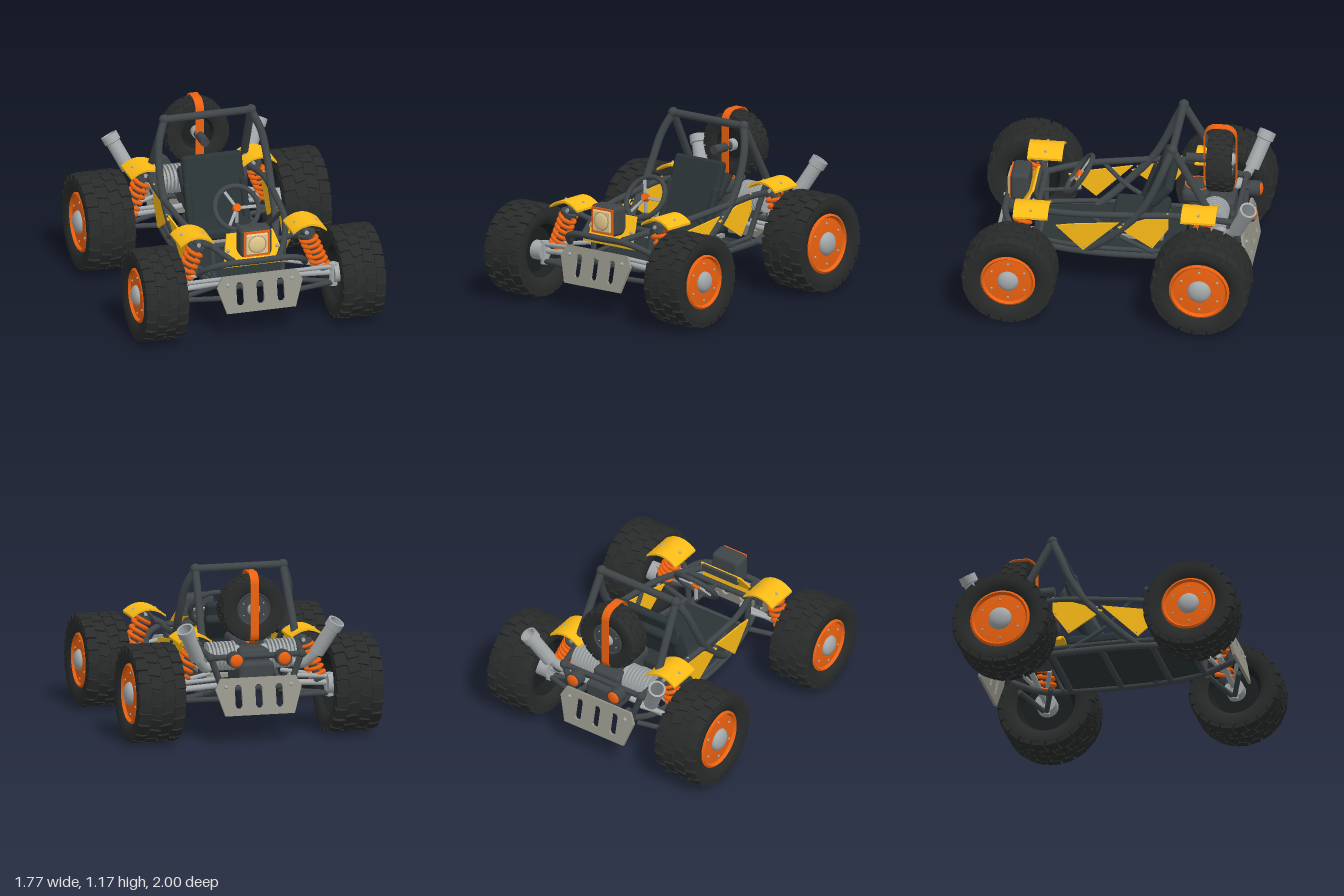
import * as THREE from 'three';
import { mergeGeometries, toCreasedNormals } from 'three/addons/utils/BufferGeometryUtils.js';
import { RoundedBoxGeometry } from 'three/addons/geometries/RoundedBoxGeometry.js';

const C = { tyre: 0x292b2b, frame: 0x3f4548, orange: 0xee6210, yellow: 0xfcbb16, plate: 0x95958a, seat: 0x2b3436, steel: 0xa4a9ab, dark: 0x1b1f20, lens: 0xe9cd90 };
const mats = {};
const mat = c => (mats[c] ??= new THREE.MeshStandardMaterial({ color: c }));
const V = p => new THREE.Vector3(...p);

export function createModel() {
  const root = new THREE.Group();
  const add = (name, geo, color, pos = [0, 0, 0], parent = root) => {
    const m = new THREE.Mesh(geo, mat(color));
    m.name = name;
    m.position.set(...pos);
    parent.add(m);
    return m;
  };
  // stand a geometry built along +y on point a, pointing at b
  const align = (m, a, b) => {
    m.position.set(...a);
    m.quaternion.setFromUnitVectors(new THREE.Vector3(0, 1, 0), V(b).sub(V(a)).normalize());
    return m;
  };
  const rod = (name, a, b, r, color = C.frame) => {
    const len = V(a).distanceTo(V(b));
    return align(add(name, new THREE.CylinderGeometry(r, r, len, 14).translate(0, len / 2, 0), color), a, b);
  };
  const ball = (name, p, r, color = C.frame, parent = root) => add(name, new THREE.SphereGeometry(r, 16, 12), color, p, parent);
  const tube = (name, pts, r, color = C.frame) => {
    add(name, new THREE.TubeGeometry(new THREE.CatmullRomCurve3(pts.map(V), false, 'centripetal'), 40, r, 12), color);
    [pts[0], pts[pts.length - 1]].forEach(p => ball(name + 'End', p, r * 1.08, color));
  };
  const lathe = (pts, seg = 40) => toCreasedNormals(new THREE.LatheGeometry(pts.map(p => new THREE.Vector2(...p)), seg), 0.6);
  const shapeOf = pts => new THREE.Shape(pts.map(p => new THREE.Vector2(...p)));
  const extrude = (shape, depth) => new THREE.ExtrudeGeometry(shape, { depth, bevelEnabled: false, curveSegments: 20 });
  // move every vertex of a geometry by a rule
  const reshape = (geo, rule) => {
    const p = geo.attributes.position;
    for (let i = 0; i < p.count; i++) p.setXYZ(i, ...rule(p.getX(i), p.getY(i), p.getZ(i)));
    geo.computeVertexNormals();
    return geo;
  };
  const mx = (p, s) => [p[0] * s, p[1], p[2]];
  const both = fn => [1, -1].forEach(fn);

  // Wheel with its axle along x, outer face towards +x
  function wheel(name, R, w, ri, rimColor, n) {
    const g = new THREE.Group();
    g.name = name;
    root.add(g);
    const toX = geo => geo.rotateZ(-Math.PI / 2);
    add('tyre', toX(lathe([[ri, -w * 0.8], [ri * 1.12, -w * 0.92], [R * 0.78, -w * 1.02], [R * 0.88, -w], [R * 0.95, -w * 0.8],
      [R * 0.965, 0], [R * 0.95, w * 0.8], [R * 0.88, w], [R * 0.78, w * 1.02], [ri * 1.12, w * 0.92], [ri, w * 0.8]], 56)), C.tyre, [0, 0, 0], g);
    // tread blocks: four staggered rows, the outer ones wrapping the chamfered shoulder
    const blocks = [], pitch = (Math.PI * 2 * R) / n;
    for (let row = 0; row < 4; row++) for (let i = 0; i < n; i++) {
      const edge = row % 3 === 0, h = R * (edge ? 0.15 : 0.07), x0 = (row - 1.5) * 0.5 * w;
      const len = pitch * (0.84 + 0.07 * Math.sin(i * 2.4 + row));
      const b = reshape(new THREE.BoxGeometry(w * 0.46, h, len, 2, 1, 1), (x, y, z) => {
        const outer = edge && x * x0 > 1e-6;
        return [x * (outer && y < 0 ? 1.08 : 1), outer && y > 0 ? y - R * 0.03 : y, z * (y > 0 ? 0.95 : 1)];
      });
      b.rotateY((edge ? 0.06 : 0.22) * (row < 2 ? 1 : -1));
      b.translate(x0, R - h / 2 - 0.003, 0);
      blocks.push(b.rotateX(((i + (row % 2) * 0.5) / n) * Math.PI * 2));
    }
    add('tread', mergeGeometries(blocks), C.tyre, [0, 0, 0], g);
    add('rim', toX(lathe([[0, 0], [ri * 1.02, 0], [ri * 1.02, w * 0.86], [ri * 0.95, w * 0.92], [ri * 0.88, w * 0.8], [ri * 0.5, w * 0.84], [0, w * 0.84]])), rimColor, [0, 0, 0], g);
    add('innerDish', toX(lathe([[0, -w * 0.35], [ri * 0.85, -w * 0.35], [ri * 1.02, -w * 0.8], [ri * 1.02, 0]])), C.dark, [0, 0, 0], g);
    add('hub', toX(new THREE.CylinderGeometry(ri * 0.36, ri * 0.36, w * 1.2, 24)), C.steel, [-w * 0.3, 0, 0], g);
    ball('hubCap', [w * 0.84, 0, 0], ri * 0.4, C.steel, g).scale.x = 0.56;
    for (let i = 0; i < 6; i++) {
      const a = (i / 6) * Math.PI * 2;
      ball('wheelBolt', [w * 0.82, Math.cos(a) * ri * 0.7, Math.sin(a) * ri * 0.7], ri * 0.045, C.steel, g);
    }
    return g;
  }
  both(s => {
    const f = wheel('frontWheel', 0.323, 0.153, 0.185, C.orange, 21), r = wheel('rearWheel', 0.341, 0.168, 0.204, C.orange, 21);
    f.position.set(s * 0.703, 0.329, 0.68);
    r.position.set(s * 0.7, 0.347, -0.638);
    if (s < 0) f.rotation.y = r.rotation.y = Math.PI;
  });

  // Spare wheel, its post and strap
  const spare = wheel('spareWheel', 0.228, 0.086, 0.115, C.frame, 20);
  spare.position.set(0, 0.913, -0.69);
  spare.rotation.y = Math.PI / 2;
  rod('sparePost', [0, 0.91, -0.445], [0, 0.91, -0.66], 0.032);
  const loop = (hw, hh, r, P) => {
    const p = new P();
    [[hw - r, hh - r, 0], [r - hw, hh - r, 1], [r - hw, r - hh, 2], [hw - r, r - hh, 3]].forEach(([x, y, q]) => p.absarc(x, y, r, q * Math.PI / 2, (q + 1) * Math.PI / 2, false));
    return p;
  };
  const strap = loop(0.112, 0.25, 0.08, THREE.Shape);
  strap.holes.push(loop(0.107, 0.245, 0.075, THREE.Path));
  add('spareStrap', extrude(strap, 0.06).translate(0, 0, -0.03).rotateY(Math.PI / 2), C.orange, [0, 0.918, -0.68]);

  // Tubular frame and roll cage
  both(s => {
    const t = (name, pts, r) => tube(name, pts.map(p => mx(p, s)), r);
    t('rollHoopLeg', [[0.31, 1.14, -0.39], [0.365, 1, -0.33], [0.385, 0.82, -0.255], [0.385, 0.67, -0.17], [0.37, 0.5, -0.02], [0.33, 0.38, 0.11], [0.3, 0.31, 0.2]], 0.027);
    t('rearStay', [[0.31, 1.14, -0.39], [0.33, 0.72, -0.62]], 0.027);
    t('upperRail', [[0.32, 0.6, -0.82], [0.36, 0.645, -0.55], [0.385, 0.66, -0.35], [0.385, 0.65, -0.2], [0.375, 0.635, -0.03], [0.34, 0.605, 0.3], [0.26, 0.57, 0.55], [0.17, 0.53, 0.74]], 0.022);
    t('lowerRail', [[0.24, 0.38, -0.82], [0.28, 0.3, -0.6], [0.31, 0.295, -0.35], [0.31, 0.295, 0.2], [0.24, 0.3, 0.55], [0.18, 0.36, 0.8]], 0.022);
    t('sill', [[0.3, 0.34, -0.45], [0.315, 0.335, -0.2], [0.31, 0.335, 0.2], [0.25, 0.34, 0.55]], 0.016);
    t('sideBrace', [[0.36, 0.61, 0.17], [0.33, 0.46, 0.0], [0.31, 0.3, -0.3]], 0.016);
    t('rearUpright', [[0.32, 0.6, -0.82], [0.24, 0.38, -0.82]], 0.022);
    t('rearBrace', [[0.33, 0.72, -0.62], [0.29, 0.3, -0.45]], 0.02);
    t('frontUpright', [[0.26, 0.57, 0.55], [0.24, 0.3, 0.55]], 0.02);
    t('shockMount', [[0.26, 0.57, 0.55], [0.385, 0.635, 0.62]], 0.02);
    t('rearShockMount', [[0.34, 0.66, -0.6], [0.395, 0.645, -0.61]], 0.022);
    ball('cageJoint', [s * 0.31, 1.14, -0.39], 0.036);
    ball('rearJoint', [s * 0.32, 0.6, -0.82], 0.032);
  });
  rod('cageTopBar', [-0.31, 1.14, -0.39], [0.31, 1.14, -0.39], 0.027);
  [[0.31, 0.295, -0.4], [0.31, 0.295, -0.05], [0.29, 0.295, 0.3], [0.24, 0.3, 0.55], [0.26, 0.57, 0.55], [0.32, 0.6, -0.82], [0.24, 0.38, -0.82], [0.18, 0.36, 0.8]]
    .forEach(p => rod('crossBar', mx(p, -1), p, 0.02));
  tube('frontBumper', [[-0.38, 0.42, 0.64], [-0.33, 0.48, 0.72], [-0.23, 0.52, 0.77], [0, 0.525, 0.78], [0.23, 0.52, 0.77], [0.33, 0.48, 0.72], [0.38, 0.42, 0.64]], 0.022);

  // Floor and seat
  add('floor', extrude(shapeOf([[-0.3, 0.44], [0.3, 0.44], [0.31, -0.15], [0.24, -0.53], [-0.24, -0.53], [-0.31, -0.15]]), 0.02).rotateX(-Math.PI / 2), C.seat, [0, 0.3, 0]);
  add('seatTray', new THREE.BoxGeometry(0.42, 0.025, 0.36), C.plate, [0, 0.37, -0.13]);
  add('seatCushion', new RoundedBoxGeometry(0.44, 0.08, 0.38, 3, 0.03), C.seat, [0, 0.43, -0.13]);
  const back = new THREE.Group();
  back.name = 'seatBack';
  back.position.set(0, 0.65, -0.23);
  back.rotation.x = -0.34;
  root.add(back);
  add('backrest', new RoundedBoxGeometry(0.43, 0.5, 0.06, 3, 0.028), C.seat, [0, 0, 0], back);
  both(s => add('bolster', new RoundedBoxGeometry(0.05, 0.3, 0.07, 3, 0.024), C.seat, [s * 0.2, -0.08, 0.02], back));
  add('seatRearPad', new RoundedBoxGeometry(0.46, 0.22, 0.065, 3, 0.03), C.seat, [0, 0.71, -0.295]).rotation.x = -0.72;

  // Steering wheel
  const steer = new THREE.Group();
  steer.name = 'steeringWheel';
  steer.position.set(0, 0.72, 0.29);
  steer.rotation.x = -0.62;
  root.add(steer);
  add('steeringRim', new THREE.TorusGeometry(0.154, 0.018, 12, 40), C.frame, [0, 0, 0], steer);
  add('steeringHub', new THREE.CylinderGeometry(0.028, 0.028, 0.035, 20).rotateX(Math.PI / 2), C.orange, [0, 0, 0], steer);
  for (let i = 0; i < 3; i++) add('steeringSpoke', new THREE.BoxGeometry(0.02, 0.14, 0.01).translate(0, 0.075, 0).rotateZ(i * Math.PI * 2 / 3 + 0.5), C.steel, [0, 0, 0], steer);
  rod('steeringColumn', [0, 0.72, 0.29], [0, 0.605, 0.29], 0.013, C.steel);
  rod('steeringShaft', [0, 0.605, 0.28], [0, 0.575, 0.56], 0.014);

  // Yellow side panels, in the plane of the frame sides
  const panels = [[[0.41, 0.51], [0.3, 0.535], [-0.03, 0.585], [0.22, 0.34]], [[-0.02, 0.55], [-0.37, 0.685], [-0.37, 0.56], [-0.26, 0.4]]];
  both(s => panels.forEach(pts => {
    const flat = extrude(shapeOf(pts.map(([z, y]) => [-z, y])), 0.012).rotateY(Math.PI / 2).translate(s * 0.39 - 0.006, 0, 0);
    add('sidePanel', reshape(flat, (x, y, z) => [x - s * 0.1 * Math.max(0, z), y, z]), C.yellow);
    pts.forEach(([z, y]) => ball('panelBolt', [s * (0.394 - 0.1 * Math.max(0, z)), y * 0.85 + 0.08, z * 0.85 + (z > -0.02 ? 0.025 : -0.035)], 0.007, C.steel));
  }));

  // Arched fenders
  const arch = new THREE.Shape();
  arch.moveTo(-0.12, -0.05);
  arch.quadraticCurveTo(0, 0.05, 0.12, -0.05);
  arch.lineTo(0.12, -0.065);
  arch.quadraticCurveTo(0, 0.035, -0.12, -0.065);
  both(s => [[0.403, 0.708, 0.566], [0.4, 0.747, -0.588]].forEach(([x, y, z]) => {
    add('fender', toCreasedNormals(extrude(arch, 0.24).translate(0, 0, -0.12), 0.5), C.yellow, [s * x, y, z]);
    both(k => ball('fenderBolt', [s * x + k * 0.075, y - 0.02, z], 0.01, C.steel));
    rod('fenderBracket', [s * x, y - 0.015, z], [s * 0.32, y - 0.12, z], 0.012);
  }));

  // Nose panel, folded at its lower edge, and headlight
  const noseRows = [[0.225, 0.46, 0.685], [0.212, 0.51, 0.69], [0.19, 0.59, 0.638], [0.165, 0.665, 0.588]];
  const nose = reshape(new THREE.BoxGeometry(2, 3, 0.016, 1, 3, 1), (x, y, z) => {
    const [hw, ry, rz] = noseRows[Math.round(y + 1.5)];
    return [Math.sign(x) * hw, ry, rz + z];
  });
  add('nosePanel', toCreasedNormals(nose, 0.3), C.yellow);
  both(s => ball('noseBolt', [s * 0.175, 0.57, 0.66], 0.013, C.steel));
  add('noseBrace', new THREE.BoxGeometry(0.28, 0.05, 0.02), C.frame, [0, 0.645, 0.57]);
  add('headlightHousing', new RoundedBoxGeometry(0.225, 0.205, 0.13, 3, 0.03), C.frame, [0, 0.645, 0.69]);
  add('headlightFrame', new THREE.BoxGeometry(0.185, 0.18, 0.02), C.orange, [0, 0.643, 0.752]);
  add('headlightPane', new RoundedBoxGeometry(0.155, 0.15, 0.03, 2, 0.01), C.lens, [0, 0.643, 0.758]);
  add('headlightLens', new THREE.SphereGeometry(0.06, 28, 16).scale(1, 1, 0.22), C.lens, [0, 0.643, 0.772]);
  add('headlightRing', new THREE.TorusGeometry(0.062, 0.003, 8, 32), C.plate, [0, 0.643, 0.773]);

  // Slotted skid plates: an upper and a lower half, each notched by half of every slot
  const skidHalf = (k, rim) => {
    const notches = [-0.145, 0, 0.145].flatMap(x => [[-0.025, 0], [-0.025, 0.062], [-0.012, 0.08], [0.012, 0.08], [0.025, 0.062], [0.025, 0]].map(([dx, y]) => [x + dx, k * y]));
    const rimLeft = rim.map(([x, y]) => [-x, y]).reverse();
    return extrude(shapeOf([...notches, ...rim, ...rimLeft]), 0.02).translate(0, 0, -0.01).rotateX(-0.22);
  };
  const skidRims = { 1: [[0.287, 0], [0.305, 0.055], [0.265, 0.13]], '-1': [[0.287, 0], [0.245, -0.13]] };
  [[0.32, 0.835, 0], [0.335, -0.89, Math.PI]].forEach(([y, z, turn]) => {
    const g = new THREE.Group();
    g.name = 'skidPlate';
    g.position.set(0, y, z);
    g.rotation.y = turn;
    root.add(g);
    both(s => {
      add('plateHalf', skidHalf(s, skidRims[s]), C.plate, [0, 0, 0], g);
      ball('plateBolt', [s * 0.23, 0.07, -0.005], 0.013, C.steel, g);
      add('plateBracket', new THREE.BoxGeometry(0.03, 0.05, 0.09), C.frame, [s * 0.2, 0.07, -0.06], g);
    });
  });

  // Suspension: wishbones, axles and coil-over shocks
  class Helix extends THREE.Curve {
    constructor(r, len, turns) { super(); Object.assign(this, { r, len, turns }); }
    getPoint(t, v = new THREE.Vector3()) {
      const a = t * this.turns * Math.PI * 2;
      return v.set(Math.cos(a) * this.r, t * this.len, Math.sin(a) * this.r);
    }
  }
  both(s => [[0.68, 0.33, 0.63], [-0.638, 0.348, -0.61]].forEach(([z, y, zs]) => {
    both(k => {
      rod('upperArm', [s * 0.25, y + 0.09, z + k * 0.1], [s * 0.58, y + 0.045, z], 0.015, C.steel);
      rod('lowerArm', [s * 0.24, y - 0.05, z + k * 0.11], [s * 0.58, y - 0.07, z], 0.018);
    });
    rod('axle', [s * 0.1, y + 0.03, z], [s * 0.62, y, z], 0.02, C.steel);
    rod('knuckle', [s * 0.57, y - 0.09, z], [s * 0.57, y + 0.07, z], 0.03, C.steel);
    const a = [s * 0.51, y + 0.01, zs], b = [s * 0.385, y + 0.31, zs], len = V(a).distanceTo(V(b));
    rod('shockBody', a, b, 0.026);
    align(add('shockSpring', new THREE.TubeGeometry(new Helix(0.054, len * 0.8, 6), 110, 0.015, 8).translate(0, len * 0.1, 0), C.orange), a, b);
    [0.08, 0.92].forEach(t => align(add('springSeat', new THREE.CylinderGeometry(0.06, 0.06, 0.02, 24), C.frame), V(a).lerp(V(b), t).toArray(), b));
    ball('shockEye', b, 0.034);
    rod('shockPin', [b[0], b[1], zs - 0.04], [b[0], b[1], zs + 0.04], 0.014, C.steel);
  }));

  // Engine with finned cylinders, filter and exhausts
  add('engineBlock', new RoundedBoxGeometry(0.22, 0.28, 0.32, 3, 0.03), C.frame, [0, 0.5, -0.63]);
  add('engineCover', new RoundedBoxGeometry(0.25, 0.16, 0.1, 3, 0.03), C.frame, [0, 0.48, -0.8]);
  add('airFilter', new RoundedBoxGeometry(0.25, 0.1, 0.19, 3, 0.04), C.frame, [0, 0.66, -0.52]);
  add('filterRing', new THREE.TorusGeometry(0.09, 0.005, 8, 36).rotateX(Math.PI / 2), C.orange, [0, 0.708, -0.53]);
  const pipe = lathe([[0.036, 0], [0.05, 0], [0.05, 0.21], [0.06, 0.215], [0.06, 0.27], [0.046, 0.27], [0.042, 0.05], [0, 0.05]], 28);
  both(s => {
    rod('cylinder', [s * 0.08, 0.58, -0.66], [s * 0.31, 0.58, -0.66], 0.07, C.steel);
    for (let i = 0; i < 8; i++) add('coolingFin', new THREE.CylinderGeometry(0.1, 0.1, 0.012, 28).rotateZ(Math.PI / 2), C.steel, [s * (0.12 + i * 0.026), 0.58, -0.66]);
    tube('exhaustPipe', [[s * 0.26, 0.54, -0.68], [s * 0.34, 0.52, -0.76], [s * 0.4, 0.58, -0.82], [s * 0.43, 0.65, -0.85]], 0.033, C.steel);
    align(add('exhaustStack', pipe, C.steel), [s * 0.425, 0.61, -0.845], [s * 0.55, 0.86, -0.95]);
    // tail lights
    rod('tailLightHousing', [s * 0.17, 0.595, -0.86], [s * 0.17, 0.595, -0.935], 0.055);
    add('tailLightLens', new THREE.SphereGeometry(0.045, 24, 14).scale(1, 1, 0.4), C.orange, [s * 0.17, 0.595, -0.935]);
    rod('tailLightStem', [s * 0.17, 0.595, -0.88], [s * 0.17, 0.6, -0.82], 0.018);
  });
  return root;
}
